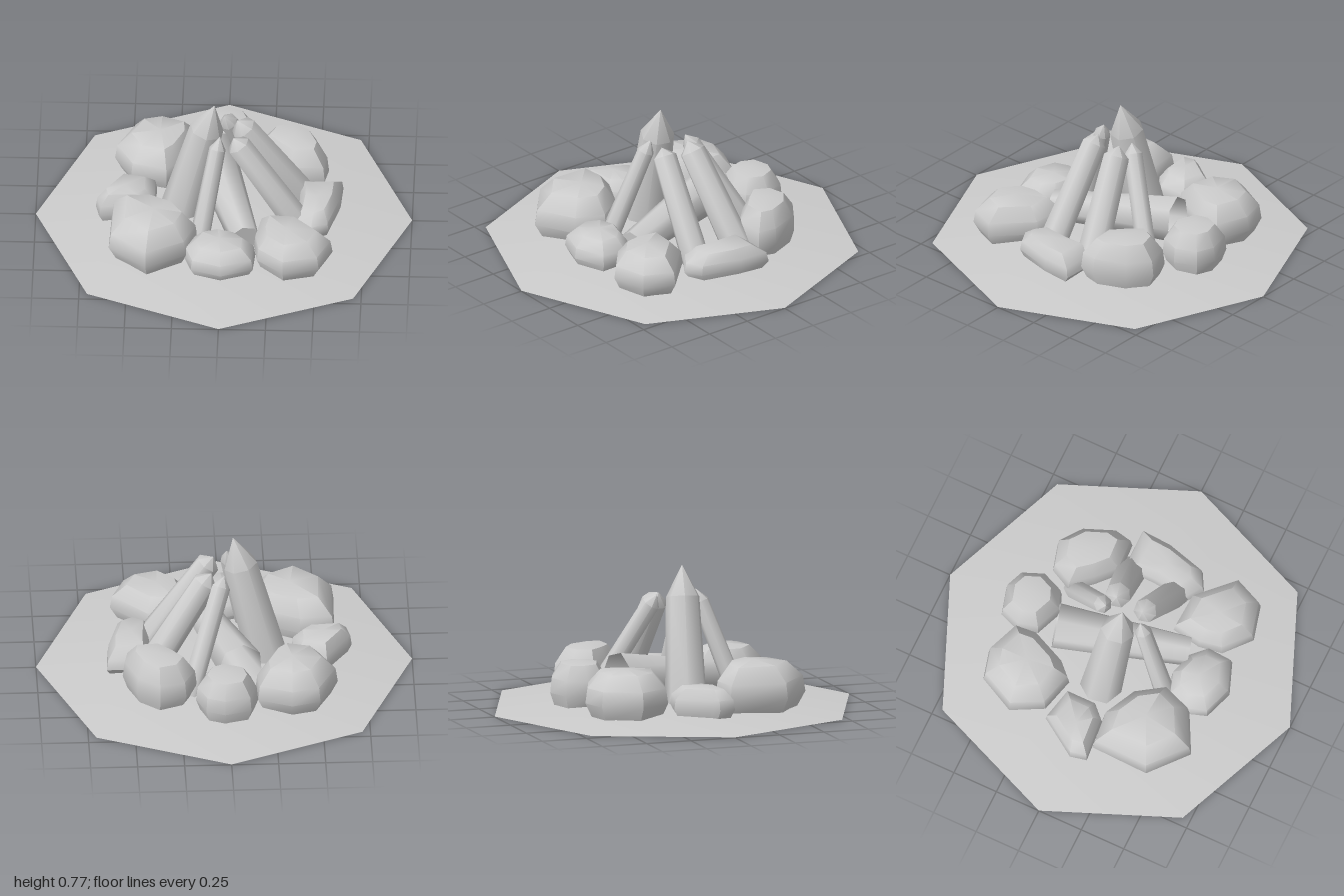
import * as THREE from 'three';
import { toCreasedNormals } from 'three/addons/utils/BufferGeometryUtils.js';

const material = new THREE.MeshStandardMaterial({ color: 0xcccccc, side: THREE.DoubleSide });
const UP = new THREE.Vector3(0, 1, 0);

function part(name, geometry, crease = 0.75) {
  const mesh = new THREE.Mesh(toCreasedNormals(geometry, crease), material);
  mesh.name = name;
  return mesh;
}

// Stone: a plan outline (x, z pairs, clockwise from above) lofted into a rounded, open-bottomed lump
function stone(name, height, outline) {
  const n = outline.length / 2, base = 0.03;
  let cx = 0, cz = 0;
  for (let i = 0; i < n; i++) {
    cx += outline[2 * i] / n;
    cz += outline[2 * i + 1] / n;
  }
  const rings = [[0.84, 0], [1, 0.3], [0.95, 0.62], [0.64, 0.93]]; // scale, height share
  const positions = [], index = [];
  for (const [s, h] of rings) {
    for (let i = 0; i < n; i++) {
      positions.push(
        cx + (outline[2 * i] - cx) * s,
        base + (height - base) * h,
        cz + (outline[2 * i + 1] - cz) * s
      );
    }
  }
  positions.push(cx, height, cz);
  const apex = n * rings.length;
  for (let r = 0; r < rings.length; r++) {
    for (let i = 0; i < n; i++) {
      const a = r * n + i, b = r * n + (i + 1) % n;
      if (r === rings.length - 1) index.push(b, a, apex);
      else index.push(b, a, a + n, b, a + n, b + n);
    }
  }
  const geometry = new THREE.BufferGeometry();
  geometry.setAttribute('position', new THREE.Float32BufferAttribute(positions, 3));
  geometry.setIndex(index);
  return part(name, geometry);
}

// Log: tapered, seven-sided, with a pointed tip beyond its top end
function log(name, from, to, r0, r1, tip) {
  const start = new THREE.Vector3(...from);
  const axis = new THREE.Vector3(...to).sub(start);
  const length = axis.length();
  const profile = [[r0, 0], [r1, length], [0, length + tip]].map(p => new THREE.Vector2(...p));
  const mesh = part(name, new THREE.LatheGeometry(profile, 7), 0.95);
  mesh.position.copy(start);
  mesh.quaternion.setFromUnitVectors(UP, axis.normalize());
  return mesh;
}

export function createModel() {
  const group = new THREE.Group();
  group.name = 'campfire';

  // Shallow eight-sided mound, hollow underneath
  const mound = [[1, 0], [0.55, 0.052], [0, 0.06]].map(p => new THREE.Vector2(...p));
  group.add(part('ground', new THREE.LatheGeometry(mound, 8)));

  // Ring of stones
  const stones = new THREE.Group();
  stones.name = 'stoneRing';
  stones.add(
    stone('frontRightStone', 0.295, [-0.59, 0.12, -0.41, 0.1, -0.23, 0.19, -0.13, 0.34, -0.19, 0.5, -0.4, 0.61, -0.6, 0.44]),
    stone('frontStone', 0.21, [-0.2, 0.47, -0.15, 0.36, -0.03, 0.32, 0.1, 0.36, 0.18, 0.44, 0.17, 0.58, 0, 0.645, -0.16, 0.59]),
    stone('frontLeftStone', 0.25, [0.2, 0.22, 0.4, 0.23, 0.59, 0.42, 0.52, 0.58, 0.33, 0.63, 0.19, 0.51, 0.17, 0.38]),
    stone('leftStone', 0.19, [0.4, -0.17, 0.63, -0.17, 0.62, 0, 0.56, 0.22, 0.47, 0.27, 0.38, 0.21, 0.4, 0]),
    stone('backLeftStone', 0.3, [0.16, -0.38, 0.22, -0.5, 0.36, -0.54, 0.48, -0.45, 0.55, -0.28, 0.53, -0.18, 0.36, -0.17, 0.25, -0.27]),
    stone('backStone', 0.28, [-0.16, -0.53, -0.12, -0.64, 0.02, -0.68, 0.12, -0.64, 0.17, -0.52, 0.12, -0.4, 0.02, -0.36, -0.13, -0.42]),
    stone('backRightStone', 0.285, [-0.59, -0.37, -0.49, -0.57, -0.34, -0.61, -0.16, -0.54, -0.15, -0.42, -0.24, -0.22, -0.31, -0.15, -0.5, -0.2]),
    stone('rightStone', 0.2, [-0.68, 0.03, -0.66, 0, -0.54, -0.18, -0.36, -0.14, -0.36, 0.03, -0.43, 0.1, -0.66, 0.12])
  );
  group.add(stones);

  // Logs leaning together, and one lying under them
  const logs = new THREE.Group();
  logs.name = 'logs';
  logs.add(
    log('tallLog', [-0.23, 0.04, 0], [-0.09, 0.6, 0.03], 0.115, 0.092, 0.17),
    log('frontLog', [-0.13, 0.04, 0.33], [-0.03, 0.56, 0.15], 0.055, 0.045, 0.07),
    log('leftFrontLog', [0.42, 0.04, 0.14], [0.08, 0.56, 0.11], 0.078, 0.065, 0.05),
    log('leftBackLog', [0.42, 0.04, -0.14], [0.1, 0.55, -0.06], 0.085, 0.07, 0.06),
    log('backLog', [0.2, 0.04, -0.37], [0.02, 0.55, -0.11], 0.055, 0.05, 0.06),
    log('lyingLog', [-0.075, 0.195, -0.34], [0.12, 0.12, 0.35], 0.125, 0.08, 0)
  );
  group.add(logs);
  return group;
}
